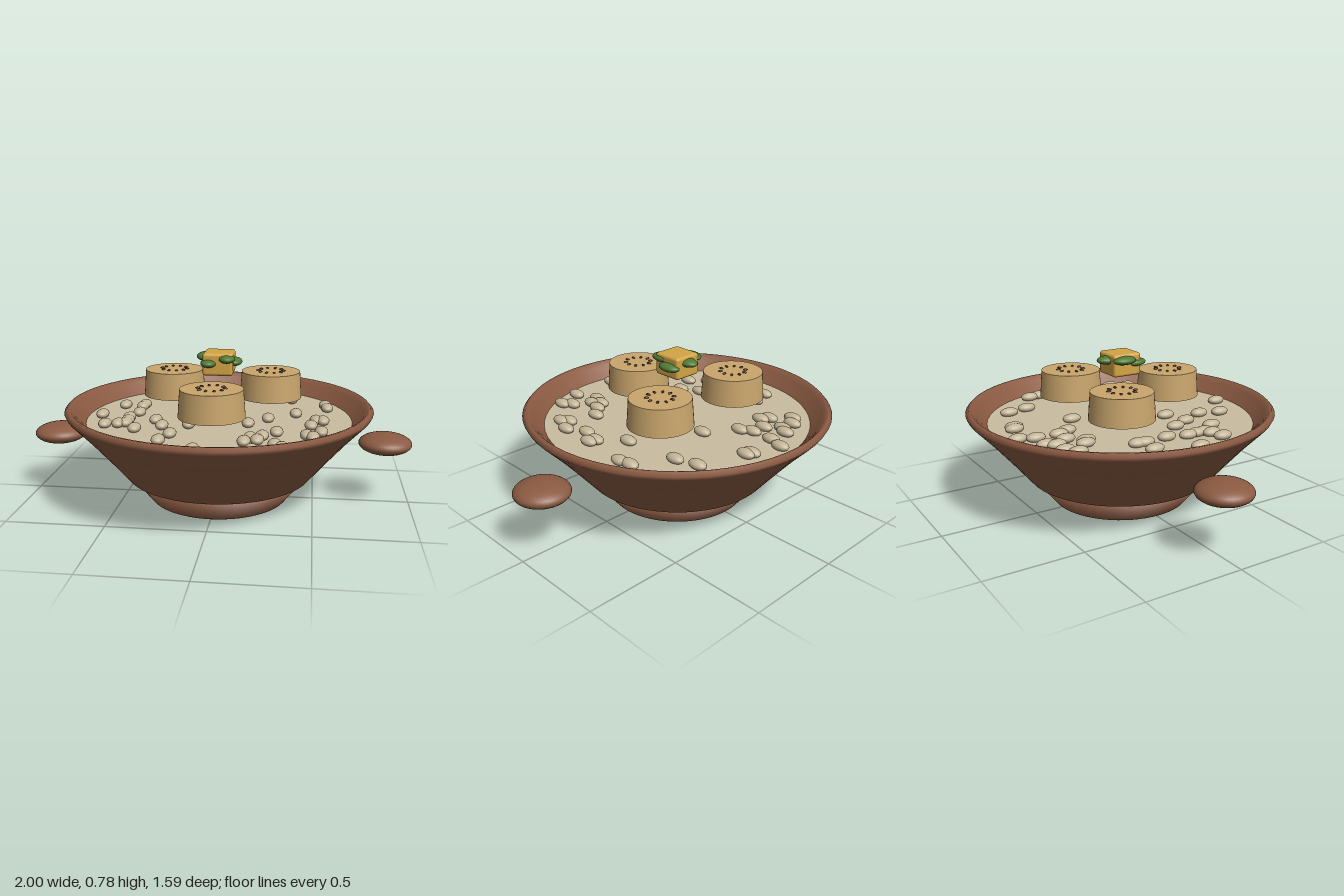
import * as THREE from 'three';
import { RoundedBoxGeometry } from 'three/addons/geometries/RoundedBoxGeometry.js';

const mat = (name, color) => {
  const m = new THREE.MeshStandardMaterial({ color });
  m.name = name;
  return m;
};

export function createModel() {
  const root = new THREE.Group();
  root.name = 'porridgeBowl';
  const clay = mat('clay brown', 0x8b5a42);
  const porridgeMat = mat('porridge cream', 0xc9bda0);
  const grainMat = mat('grain beige', 0xc4b597);
  const cakeMat = mat('cake tan', 0xc9a56c);
  const seedMat = mat('seed dark brown', 0x3f2616);
  const butterMat = mat('butter yellow', 0xd2a445);
  const leafMat = mat('leaf green', 0x4f7a34);

  const add = (name, geo, material, x = 0, y = 0, z = 0, parent = root) => {
    const mesh = new THREE.Mesh(geo, material);
    mesh.name = name;
    mesh.position.set(x, y, z);
    parent.add(mesh);
    return mesh;
  };
  const lathe = (pts) =>
    new THREE.LatheGeometry(pts.map(([r, y]) => new THREE.Vector2(r, y)), 64);
  const ellipsoid = (rx, ry, rz, w = 16, h = 10) =>
    new THREE.SphereGeometry(1, w, h).scale(rx, ry, rz);

  // Bowl: flared foot, and a hollow body with a rounded rim
  add('foot', lathe([[0, 0], [0.35, 0], [0.36, 0.005], [0.465, 0.135], [0.3, 0.14]]), clay);
  add('bowlBody', lathe([
    [0.3, 0.13], [0.475, 0.13], [0.485, 0.135], [0.59, 0.26], [0.69, 0.375], [0.785, 0.475],
    [0.795, 0.495], [0.78, 0.512], [0.765, 0.51], [0.745, 0.49], [0.685, 0.425],
    [0.58, 0.33], [0, 0.28],
  ]), clay);

  // Handles
  for (const [name, s] of [['leftHandle', 1], ['rightHandle', -1]]) {
    add(name, ellipsoid(0.136, 0.053, 0.136, 32, 20), clay, s * 0.864, 0.32, 0);
  }

  // Porridge surface
  add('porridge', new THREE.CylinderGeometry(0.692, 0.64, 0.05, 64), porridgeMat, 0, 0.405, 0);

  // Grains scattered over the porridge, as x, z pairs
  const spots = [
    -0.08, -0.62, -0.11, -0.54, -0.22, -0.54, -0.33, -0.5, -0.25, -0.5, -0.385, -0.46,
    -0.195, -0.425, -0.115, -0.42, -0.085, -0.36, -0.3, -0.375, -0.26, -0.35, 0.07, -0.57,
    0.1, -0.56, 0.34, -0.48, 0.37, -0.365, 0.07, -0.25, 0.555, -0.26, 0.565, -0.2,
    -0.535, -0.145, -0.43, -0.17, -0.435, -0.13, -0.425, 0, -0.61, 0.06, -0.455, 0.105,
    -0.31, 0.135, -0.45, 0.16, -0.55, 0.24, -0.485, 0.225, -0.45, 0.205, -0.385, 0.3,
    -0.26, 0.235, -0.13, 0.2, -0.195, 0.37, -0.23, 0.48, -0.05, 0.6, 0.26, 0.04,
    0.4, -0.07, 0.505, 0.05, 0.54, 0.06, 0.48, 0.15, 0.53, 0.255, 0.46, 0.32,
    0.49, 0.35, 0.165, 0.145, 0.315, 0.285, 0.25, 0.355, 0.195, 0.39, 0.23, 0.425,
    0.17, 0.455, 0.315, 0.485, 0.35, 0.53, 0.215, 0.58,
  ];
  const grains = new THREE.Group();
  grains.name = 'grains';
  root.add(grains);
  const grainGeo = ellipsoid(0.033, 0.024, 0.05);
  for (let i = 0; i < spots.length; i += 2) {
    add('grain', grainGeo, grainMat, spots[i], 0.447, spots[i + 1], grains);
  }

  // Three round cakes, each with a ring of seeds on top
  const cakeGeo = new THREE.CylinderGeometry(0.155, 0.165, 0.14, 48);
  const seedGeo = ellipsoid(0.012, 0.007, 0.007, 8, 6);
  for (const [x, z] of [[-0.26, -0.15], [0.26, -0.15], [0, 0.3]]) {
    const group = new THREE.Group();
    group.name = 'seededCake';
    group.position.set(x, 0.515, z);
    root.add(group);
    add('cake', cakeGeo, cakeMat, 0, 0.07, 0, group);
    for (let i = 0; i < 10; i++) {
      const a = (i / 10) * Math.PI * 2;
      const r = 0.066;
      const seed = add('seed', seedGeo, seedMat, Math.cos(a) * r, 0.141, Math.sin(a) * r, group);
      seed.rotation.y = -a;
    }
  }

  // Butter cube ringed by five leaves
  add('butter', new RoundedBoxGeometry(0.155, 0.115, 0.16, 4, 0.015), butterMat, 0, 0.725, 0);
  const leafGeo = ellipsoid(0.042, 0.022, 0.064, 20, 12);
  [0.747, 0.727, 0.754, 0.73, 0.752].forEach((y, i) => {
    const a = (i / 5) * Math.PI * 2;
    add('leaf', leafGeo, leafMat, Math.sin(a) * 0.08, y, -Math.cos(a) * 0.07);
  });

  return root;
}
